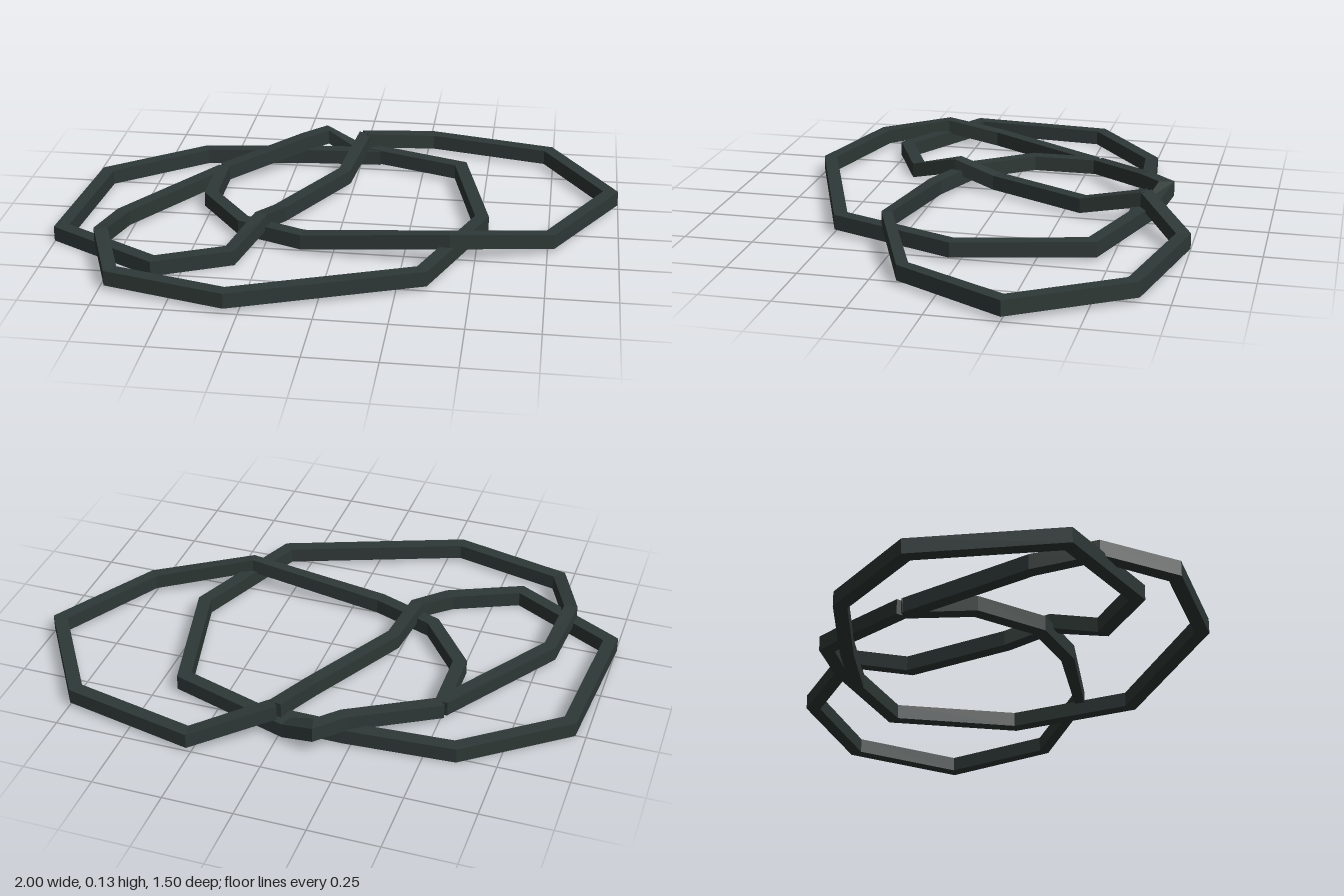
import * as THREE from 'three';

// Sweeps an upright rectangular bar along a path, with mitred corners and end caps
function barAlong(points, halfHeight) {
  const rings = points.map(([x, y, z, halfWidth = 0.024], i) => {
    const p = points[Math.max(i - 1, 0)];
    const n = points[Math.min(i + 1, points.length - 1)];
    const here = new THREE.Vector2(x, z);
    const into = here.clone().sub(new THREE.Vector2(p[0], p[2])).normalize();
    const out = new THREE.Vector2(n[0], n[2]).sub(here).normalize();
    const along = into.clone().add(out).normalize();
    const edge = i === 0 ? out : into;
    const w = halfWidth / Math.max(0.6, along.dot(edge));
    const sx = -along.y * w, sz = along.x * w;
    return [[1, 1], [1, -1], [-1, -1], [-1, 1]].map(([s, h]) =>
      [x + s * sx, y + h * halfHeight, z + s * sz]);
  });
  const pos = [];
  const quad = (a, b, c, d) => pos.push(...a, ...b, ...c, ...a, ...c, ...d);
  for (let i = 0; i < rings.length - 1; i++) {
    const r = rings[i], q = rings[i + 1];
    for (let k = 0; k < 4; k++) {
      const m = (k + 1) % 4;
      quad(r[k], r[m], q[m], q[k]);
    }
  }
  const a = rings[0], b = rings[rings.length - 1];
  quad(a[3], a[2], a[1], a[0]);
  quad(b[0], b[1], b[2], b[3]);
  const g = new THREE.BufferGeometry();
  g.setAttribute('position', new THREE.Float32BufferAttribute(pos, 3));
  g.computeVertexNormals();
  return g;
}

export function createModel() {
  const group = new THREE.Group();
  group.name = 'cableCoil';
  const rubber = new THREE.MeshStandardMaterial({ color: 0x2e3836, flatShading: true });
  rubber.name = 'dark rubber';

  // Centre lines as [x, y, z, optional half width]; raised points are crossings
  const loops = {
    leftLoop: [
      [0.08, 0.043, -0.535], [-0.22, 0.036, -0.53], [-0.605, 0.0275, -0.497],
      [-0.94, 0.0275, -0.24], [-0.978, 0.0275, 0.275], [-0.595, 0.0275, 0.492],
      [-0.345, 0.0275, 0.378], [-0.265, 0.085, 0.2], [-0.225, 0.043, 0.04],
      [-0.035, 0.043, -0.325], [0.015, 0.102, -0.56],
    ],
    rightLoop: [
      [0.015, 0.102, -0.56], [0.27, 0.043, -0.728], [0.73, 0.043, -0.627],
      [0.97, 0.043, -0.25], [0.76, 0.043, 0.132, 0.021], [0.41, 0.092, 0.285, 0.018],
      [-0.11, 0.043, 0.25], [-0.34, 0.043, 0.16], [-0.498, 0.043, -0.05],
      [-0.5, 0.043, -0.3],
    ],
    frontLoop: [
      [-0.5, 0.043, -0.3], [-0.22, 0.09, -0.53], [-0.14, 0.09, -0.615],
      [-0.03, 0.046, -0.577], [0.4, 0.043, -0.436], [0.51, 0.043, 0.03],
      [0.41, 0.043, 0.285], [0.335, 0.043, 0.477], [-0.3, 0.043, 0.72],
      [-0.712, 0.043, 0.615], [-0.807, 0.074, 0.37], [-0.782, 0.043, 0.15],
      [-0.5, 0.043, -0.29],
    ],
  };
  for (const [name, points] of Object.entries(loops)) {
    const mesh = new THREE.Mesh(barAlong(points, 0.0275), rubber);
    mesh.name = name;
    group.add(mesh);
  }
  return group;
}
